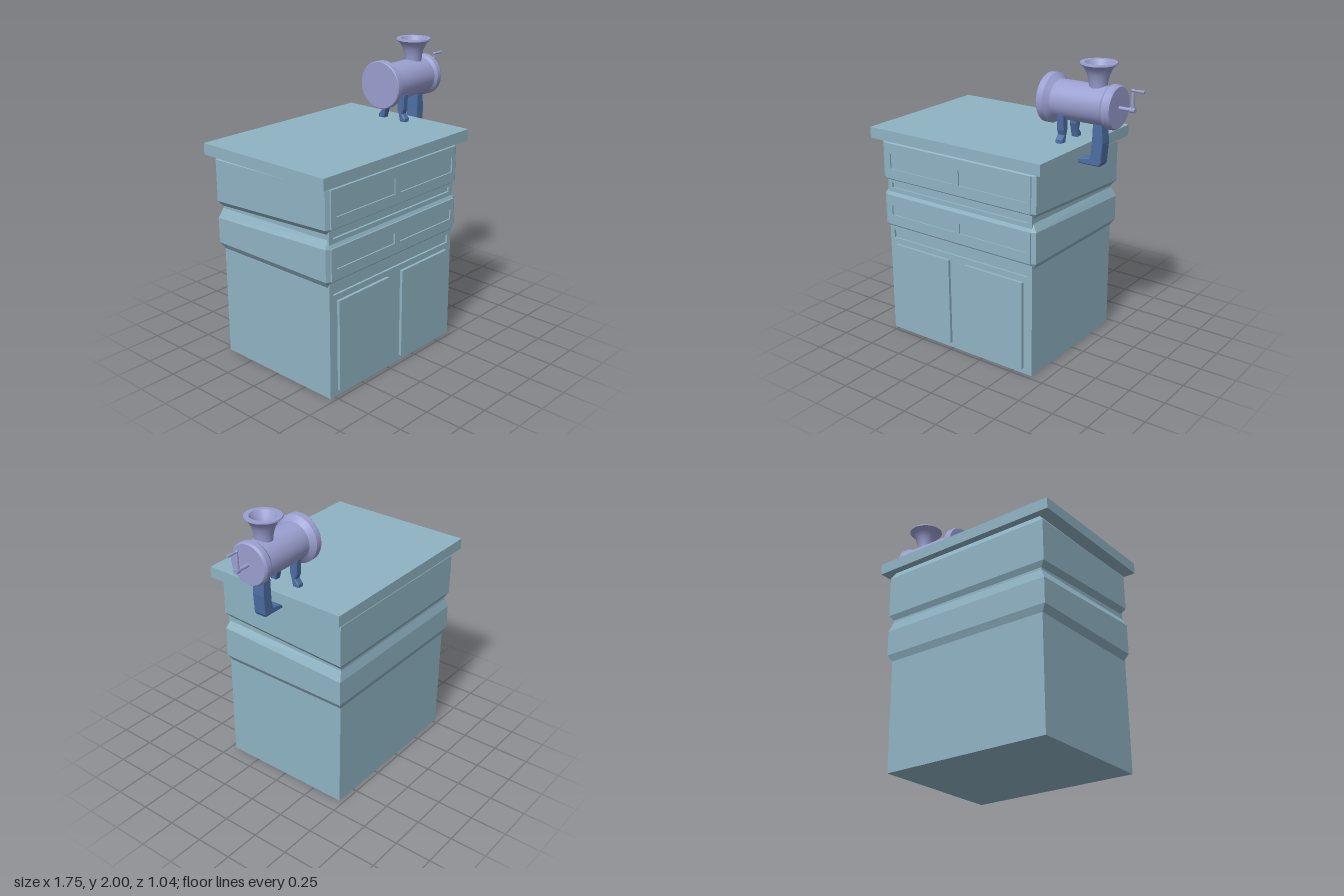
import * as THREE from 'three';
import { toCreasedNormals } from 'three/addons/utils/BufferGeometryUtils.js';

const paint = (color) => new THREE.MeshStandardMaterial({ color, side: THREE.DoubleSide });
const teal = paint(0x8fb3c3), lilac = paint(0x9a9fd0), blue = paint(0x4d6ea3);

function add(parent, name, geometry, material, x = 0, y = 0, z = 0) {
  const mesh = new THREE.Mesh(geometry, material);
  mesh.name = name;
  mesh.position.set(x, y, z);
  parent.add(mesh);
  return mesh;
}

// Box given by its limits
function block(parent, name, material, x0, x1, y0, y1, z0, z1) {
  return add(parent, name, new THREE.BoxGeometry(x1 - x0, y1 - y0, z1 - z0), material,
    (x0 + x1) / 2, (y0 + y1) / 2, (z0 + z1) / 2);
}

const polygon = (pts) => new THREE.Shape(pts.map(([x, y]) => new THREE.Vector2(x, y)));
const rect = (x0, x1, y0, y1) => [[x0, y0], [x1, y0], [x1, y1], [x0, y1]];

// Flat front sheet with rectangular openings
function sheet(parent, name, outline, holes, z0, z1) {
  const shape = polygon(rect(...outline));
  for (const h of holes) shape.holes.push(polygon(rect(...h)));
  const g = new THREE.ExtrudeGeometry(shape, { depth: z1 - z0, bevelEnabled: false });
  return add(parent, name, g, teal, 0, 0, z0);
}

function lathe(pts, sides = 32) {
  const g = new THREE.LatheGeometry(pts.map(([r, y]) => new THREE.Vector2(r, y)), sides);
  return toCreasedNormals(g, 0.5);
}

// Carcass: stacked rings that flare into bands and slope towards the back
function carcassGeometry() {
  // [y at front, y at back, flare]
  const levels = [
    [0, 0, 0], [0.755, 0.75, 0], [0.8, 0.795, 1], [1.01, 0.965, 1], [1.06, 1.03, 0],
    [1.095, 1.045, 0], [1.13, 1.08, 1], [1.375, 1.36, 1], [1.4, 1.4, 0],
  ];
  const rings = levels.map(([yf, yb, k]) => {
    const X0 = -0.785 - 0.03 * k, X1 = 0.4 + 0.03 * k;
    const f = 0.455 + 0.025 * k, s = 0.455 + 0.015 * k, b = -0.47 - 0.017 * k;
    return [[-0.785, yf, f], [0.4, yf, f], [X1, yf, s], [X1, yb, b], [X0, yb, b], [X0, yf, s]];
  });
  const pos = [];
  const tri = (a, b, c) => pos.push(...a, ...b, ...c);
  for (let k = 0; k < rings.length - 1; k++) {
    for (let i = 0; i < 6; i++) {
      const j = (i + 1) % 6, lo = rings[k], hi = rings[k + 1];
      tri(lo[i], lo[j], hi[j]);
      tri(lo[i], hi[j], hi[i]);
    }
  }
  const base = rings[0];
  for (let i = 1; i < 5; i++) tri(base[0], base[i + 1], base[i]);
  const g = new THREE.BufferGeometry();
  g.setAttribute('position', new THREE.Float32BufferAttribute(pos, 3));
  g.computeVertexNormals();
  return g;
}

function cabinet() {
  const group = new THREE.Group();
  group.name = 'cabinet';
  add(group, 'carcass', carcassGeometry(), teal);
  block(group, 'worktop', teal, -0.875, 0.49, 1.4, 1.475, -0.52, 0.52);

  // Front face with two shallow slots
  sheet(group, 'frontFrame', [-0.785, 0.4, 0, 1.4],
    [[-0.75, 0.365, 0.695, 0.755], [-0.75, 0.365, 1.06, 1.095]], 0.455, 0.47);

  // Drawer fronts with recessed panels
  for (const [lo, hi] of [[0.8, 1.01], [1.13, 1.375]]) {
    sheet(group, 'drawerFront', [-0.785, 0.4, lo, hi],
      [[-0.74, -0.21, lo + 0.07, hi - 0.07], [-0.16, 0.365, lo + 0.07, hi - 0.07]], 0.48, 0.49);
  }

  // Doors
  for (const [x0, x1] of [[-0.72, -0.26], [-0.13, 0.335]]) {
    block(group, 'door', teal, x0, x1, 0.04, 0.655, 0.465, 0.49);
  }
  return group;
}

function grinder() {
  const group = new THREE.Group();
  group.name = 'grinder';
  group.position.set(0.2, 1.735, 0);
  group.rotation.y = 0.02;

  // Barrel with end collars, lying along x
  const barrel = lathe([[0, 0], [0.155, 0], [0.16, 0.006], [0.16, 0.05], [0.13, 0.075], [0.125, 0.08],
    [0.125, 0.435], [0.14, 0.455], [0.14, 0.49], [0.13, 0.505], [0, 0.505]], 36);
  add(group, 'barrel', barrel.rotateZ(-Math.PI / 2), lilac);

  // Hollow feed funnel
  add(group, 'funnel', lathe([[0.056, 0.1], [0.06, 0.15], [0.072, 0.195], [0.092, 0.235], [0.112, 0.25],
    [0.118, 0.256], [0.116, 0.265], [0.085, 0.265], [0.068, 0.235], [0.045, 0.19], [0.035, 0.14], [0, 0.14]]),
  lilac, 0.355, 0, 0);

  // Crank: shaft, arm and handle
  const rod = (r0, r1, len) => new THREE.CylinderGeometry(r1, r0, len, 12);
  const across = (g) => g.rotateZ(-Math.PI / 2);
  add(group, 'crankShaft', across(rod(0.012, 0.012, 0.12)), lilac, 0.555, 0, 0);
  add(group, 'crankHub', across(rod(0.017, 0.017, 0.035)), lilac, 0.597, 0, 0);
  add(group, 'crankArm', rod(0.013, 0.007, 0.125), lilac, 0.594, 0.062, 0);
  add(group, 'crankHandle', across(rod(0.006, 0.01, 0.09)), lilac, 0.628, 0.121, 0);
  add(group, 'crankKnuckle', new THREE.SphereGeometry(0.011, 12, 8), lilac, 0.594, 0.121, 0);
  return group;
}

function supports() {
  const group = new THREE.Group();
  group.name = 'supports';
  const bevel = { bevelEnabled: true, bevelThickness: 0.006, bevelSize: 0.006, bevelOffset: -0.006, bevelSegments: 1 };

  // Pair of splayed feet resting on the worktop
  const foot = [[0.045, 1.66], [0.105, 1.66], [0.1, 1.56], [0.09, 1.53], [0.115, 1.5], [0.115, 1.478],
    [0.07, 1.478], [0.06, 1.52], [0.045, 1.57]];
  for (const side of [-1, 1]) {
    const shape = polygon(foot.map(([z, y]) => [-side * z, y]));
    const g = new THREE.ExtrudeGeometry(shape, { depth: 0.038, ...bevel }).rotateY(Math.PI / 2);
    add(group, side > 0 ? 'frontFoot' : 'backFoot', g, blue, 0.331, 0, 0);
  }

  // Clamp leg hooking under the worktop edge
  const clamp = polygon([[0.55, 1.64], [0.612, 1.64], [0.622, 1.5], [0.612, 1.37], [0.6, 1.35], [0.445, 1.35],
    [0.445, 1.38], [0.53, 1.395], [0.54, 1.42], [0.545, 1.5]]);
  add(group, 'clampLeg', new THREE.ExtrudeGeometry(clamp, { depth: 0.076, ...bevel }), blue, 0, 0, -0.042);
  return group;
}

export function createModel() {
  const model = new THREE.Group();
  model.name = 'cabinetWithGrinder';
  model.add(cabinet(), grinder(), supports());
  return model;
}
